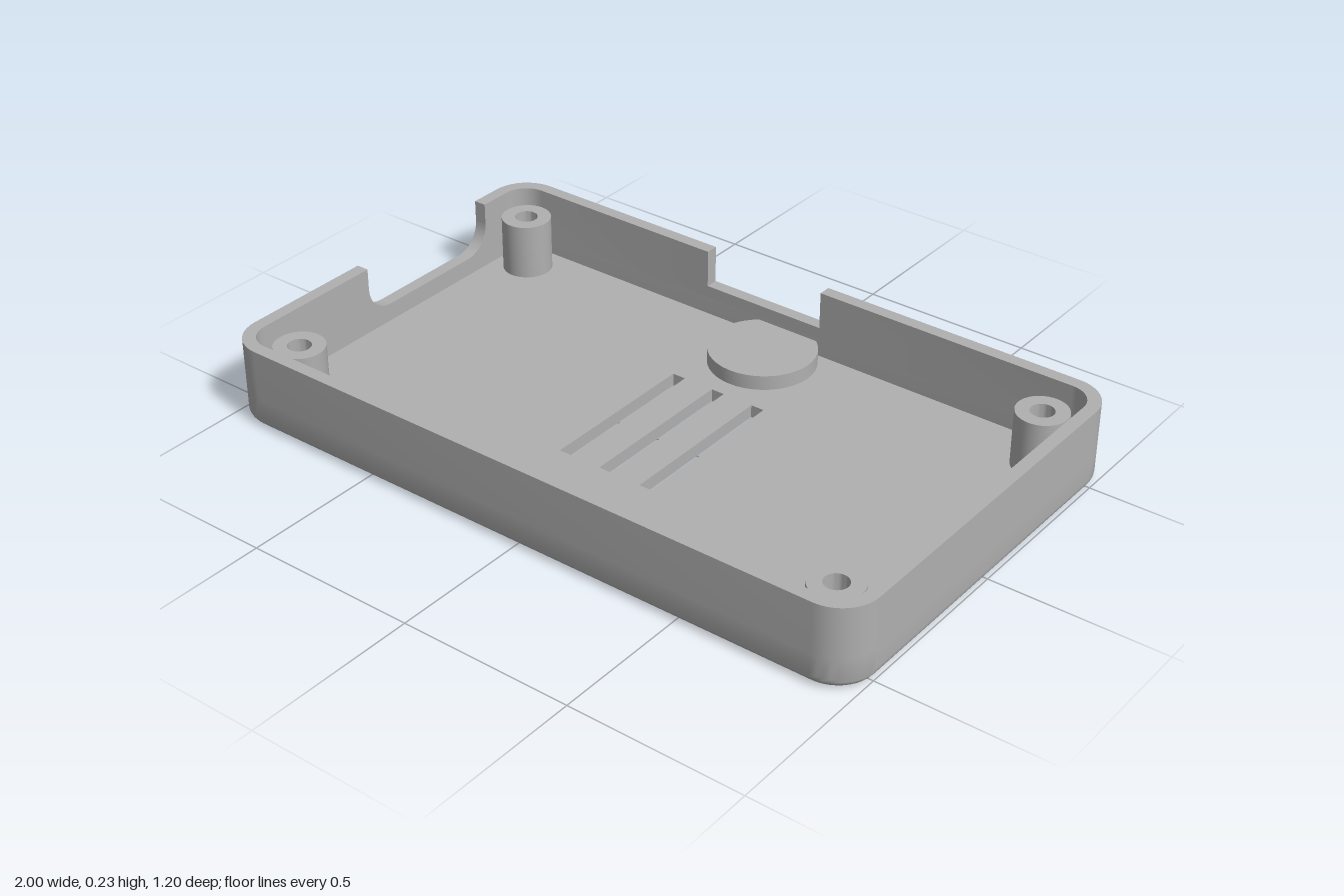
import * as THREE from 'three';
import { toCreasedNormals } from 'three/addons/utils/BufferGeometryUtils.js';

const HX = 1, HZ = 0.602, R = 0.11;        // half sizes and corner radius
const TOP = 0.235, FLOOR = 0.037, WALL = 0.037, FILLET = 0.03;
const SILL = 0.09;                         // lowest cutout edge
const BACK_CUT = { x0: -0.278, x1: 0.106, y: 0.125 };
const SIDE_CUT = { z0: -0.395, z1: 0.096, r: 0.08 };

const plastic = new THREE.MeshStandardMaterial({ color: 0xb0b0b0 });
plastic.name = 'grey plastic';

// One rounded corner in plan: 0 = (+x,+z), 1 = (-x,+z), 2 = (-x,-z), 3 = (+x,-z)
function corner(q, inset) {
  const cx = (q === 0 || q === 3 ? 1 : -1) * (HX - R);
  const cz = (q < 2 ? 1 : -1) * (HZ - R);
  const pts = [];
  for (let k = 0; k <= 10; k++) {
    const a = (q + k / 10) * Math.PI / 2;
    pts.push(new THREE.Vector2(cx + (R - inset) * Math.cos(a), cz + (R - inset) * Math.sin(a)));
  }
  return pts;
}
const outline = (inset) => [0, 1, 2, 3].flatMap((q) => corner(q, inset));

// Extrude a plan shape (x, z) between two heights
function slab(shape, y0, y1) {
  return new THREE.ExtrudeGeometry(shape, { depth: y1 - y0, bevelEnabled: false, curveSegments: 16 })
    .rotateX(Math.PI / 2).translate(0, y1, 0);
}

// Sweep an (inset, height) profile around the rounded outline
function sweep(profile) {
  const pos = [], idx = [];
  const n = outline(0).length;
  profile.forEach(([inset, y]) => outline(inset).forEach((p) => pos.push(p.x, y, p.y)));
  for (let i = 0; i < profile.length - 1; i++) {
    for (let j = 0; j < n; j++) {
      const a = i * n + j, c = i * n + (j + 1) % n;
      idx.push(a, a + n, c, a + n, c + n, c);
    }
  }
  const g = new THREE.BufferGeometry();
  g.setAttribute('position', new THREE.Float32BufferAttribute(pos, 3));
  g.setIndex(idx);
  return g;
}

const lathe = (pts) => new THREE.LatheGeometry(pts.map(([r, y]) => new THREE.Vector2(r, y)), 40);

export function createModel() {
  const group = new THREE.Group();
  const add = (name, geometry, x = 0, y = 0, z = 0) => {
    const mesh = new THREE.Mesh(toCreasedNormals(geometry, 0.5), plastic);
    mesh.name = name;
    mesh.position.set(x, y, z);
    group.add(mesh);
  };

  // Floor with screw, magnet, indicator and vent openings
  const floor = new THREE.Shape(outline(FILLET));
  const roundHole = (x, z, r) => floor.holes.push(new THREE.Path().absarc(x, z, r, 0, Math.PI * 2, true));
  const posts = [-1, 1].flatMap((sx) => [-1, 1].map((sz) => [sx * 0.864, sz * 0.464]));
  posts.forEach(([x, z]) => roundHole(x, z, 0.054));
  roundHole(0, -0.447, 0.112);
  [0.632, 0.729].forEach((x) => roundHole(x, 0.41, 0.027));
  for (const x of [-0.132, 0, 0.132]) {
    const w = 0.02, l = 0.242;
    floor.holes.push(new THREE.Path([[-w, -l], [-w, l], [w, l], [w, -l]]
      .map(([dx, z]) => new THREE.Vector2(x + dx, z))));
  }
  add('floor', slab(floor, 0, FLOOR));

  // Lower wall with a rounded bottom edge
  const profile = [];
  for (let k = 0; k <= 6; k++) {
    const a = k / 6 * Math.PI / 2;
    profile.push([FILLET * (1 - Math.sin(a)), FILLET * (1 - Math.cos(a))]);
  }
  profile.push([0, SILL], [WALL, SILL], [WALL, FLOOR]);
  add('lowerWall', sweep(profile));

  // Upper wall: two runs separated by the cutouts
  const run = (corners, start, end) => {
    const side = (inset) => [start(inset), ...corners.flatMap((q) => corner(q, inset)), end(inset)];
    return slab(new THREE.Shape([...side(0), ...side(WALL).reverse()]), SILL, TOP);
  };
  const onBack = (x) => (inset) => new THREE.Vector2(x, -HZ + inset);
  const onSide = (z) => (inset) => new THREE.Vector2(-HX + inset, z);
  add('mainUpperWall', run([3, 0, 1], onBack(BACK_CUT.x1), onSide(SIDE_CUT.z1)));
  add('cornerUpperWall', run([2], onSide(SIDE_CUT.z0), onBack(BACK_CUT.x0)));

  // Raised sill of the back cutout
  const width = BACK_CUT.x1 - BACK_CUT.x0, rise = BACK_CUT.y - SILL;
  add('backSill', new THREE.BoxGeometry(width, rise, WALL),
    (BACK_CUT.x0 + BACK_CUT.x1) / 2, SILL + rise / 2, -HZ + WALL / 2);

  // Rounded lower corners of the side cutout
  for (const [z, s] of [[SIDE_CUT.z0, 1], [SIDE_CUT.z1, -1]]) {
    const r = SIDE_CUT.r, pts = [new THREE.Vector2(z, SILL)];
    for (let k = 0; k <= 10; k++) {
      const a = k / 10 * Math.PI / 2;
      pts.push(new THREE.Vector2(z + s * r * (1 - Math.sin(a)), SILL + r * (1 - Math.cos(a))));
    }
    const g = new THREE.ExtrudeGeometry(new THREE.Shape(pts), { depth: WALL, bevelEnabled: false });
    add('sideCutoutCorner', g.rotateY(-Math.PI / 2).translate(-HX + WALL, 0, 0));
  }

  // Screw posts, counterbored from below
  posts.forEach(([x, z]) => add('screwPost', lathe([
    [0.072, FLOOR], [0.072, 0.2], [0.033, 0.2], [0.033, 0.14], [0.054, 0.14], [0.054, FLOOR],
  ]), x, 0, z));

  // Round pocket with its recess open underneath
  add('roundPocket', lathe([[0.153, FLOOR], [0.153, 0.08], [0, 0.08]]), 0, 0, -0.447);
  add('pocketRecess', lathe([[0, 0.058], [0.112, 0.058], [0.112, FLOOR]]), 0, 0, -0.447);

  return group;
}
